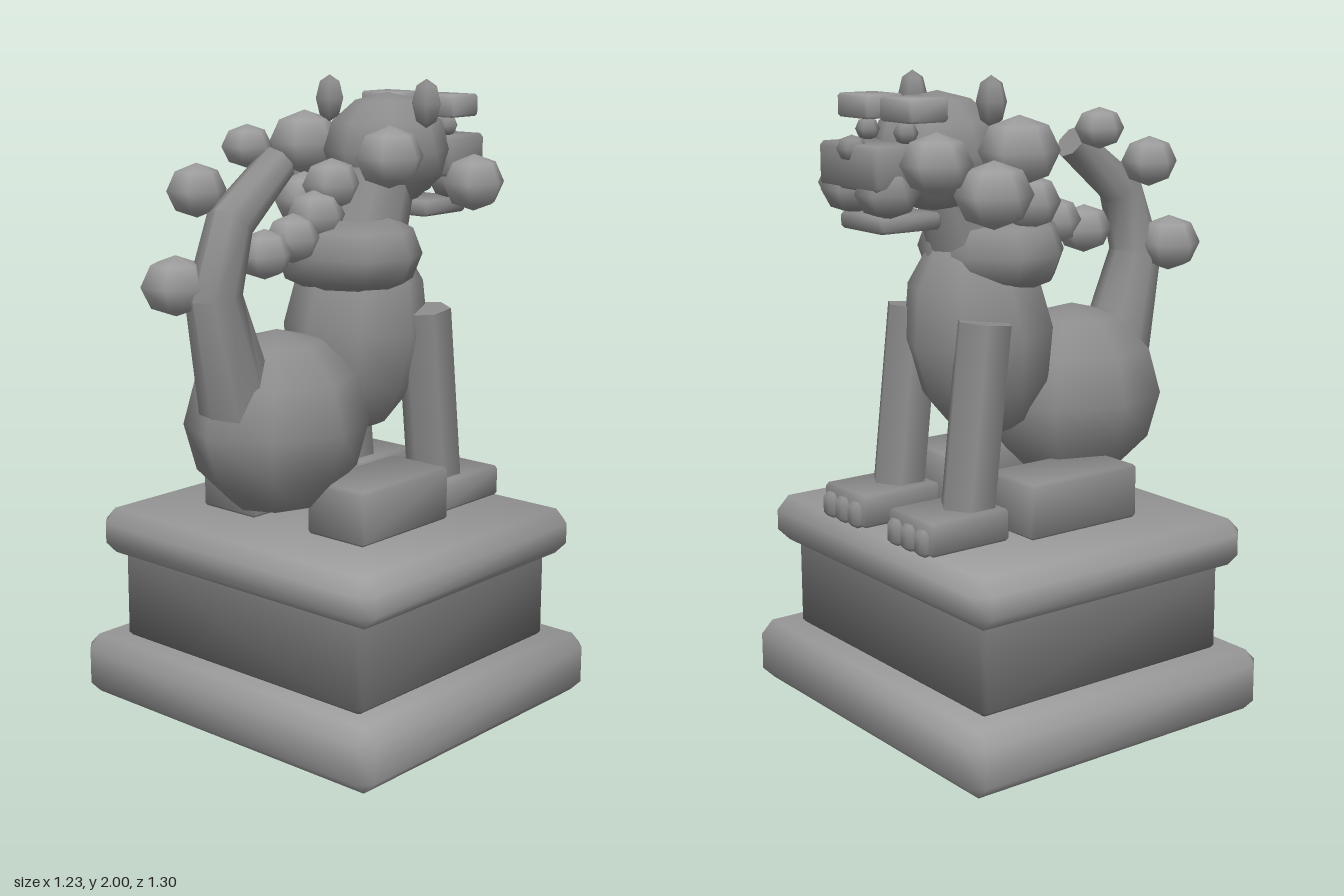
import * as THREE from 'three';
import { ConvexGeometry } from 'three/addons/geometries/ConvexGeometry.js';
import { toCreasedNormals } from 'three/addons/utils/BufferGeometryUtils.js';

const stone = new THREE.MeshStandardMaterial({ color: 0x8c8c8c });
const paleStone = new THREE.MeshStandardMaterial({ color: 0x9c9c9c });
const darkStone = new THREE.MeshStandardMaterial({ color: 0x6e6e6e });

export function createModel() {
  const model = new THREE.Group();

  const add = (name, geometry, material, x = 0, y = 0, z = 0) => {
    const mesh = new THREE.Mesh(geometry, material);
    mesh.name = name;
    mesh.position.set(x, y, z);
    model.add(mesh);
    return mesh;
  };

  // Box with every edge cut at 45 degrees and softly shaded
  const chamferBox = (name, [w, h, d], [x, y, z], c, material = stone) => {
    const points = [];
    for (const sx of [-1, 1]) for (const sy of [-1, 1]) for (const sz of [-1, 1]) {
      for (const k of [0, 1, 2]) {
        points.push(new THREE.Vector3(
          sx * (w / 2 - (k === 0 ? 0 : c)),
          sy * (h / 2 - (k === 1 ? 0 : c)),
          sz * (d / 2 - (k === 2 ? 0 : c))));
      }
    }
    return add(name, toCreasedNormals(new ConvexGeometry(points), 1.1), material, x, y, z);
  };

  // Low-poly balls: body masses are finer than the small curls
  const ball = (name, [x, y, z], radii, material, sides, rings) =>
    add(name, new THREE.SphereGeometry(1, sides, rings).scale(...radii), material, x, y, z);
  const mass = (name, at, radii) => ball(name, at, radii, stone, 8, 6);
  const knob = (name, at, radii, material = paleStone) => ball(name, at, radii, material, 6, 4);

  // Straight limb between two points
  const limb = (name, from, to, r0, r1, sides) => {
    const a = new THREE.Vector3(...from), b = new THREE.Vector3(...to);
    const dir = b.clone().sub(a);
    const geometry = new THREE.CylinderGeometry(r1, r0, dir.length(), sides);
    const mesh = add(name, geometry, stone);
    mesh.position.copy(a).add(b).multiplyScalar(0.5);
    mesh.quaternion.setFromUnitVectors(new THREE.Vector3(0, 1, 0), dir.normalize());
    return mesh;
  };

  // Pedestal
  chamferBox('pedestalFoot', [1.23, 0.2, 1.13], [0, 0.1, -0.075], 0.04, paleStone);
  chamferBox('pedestalCore', [1.015, 0.29, 0.925], [0, 0.34, -0.07], 0.018, darkStone);
  chamferBox('pedestalTop', [1.15, 0.15, 1.035], [0, 0.555, -0.073], 0.042, paleStone);

  // Body and neck
  mass('rump', [0, 0.97, 0.2], [0.27, 0.29, 0.305]);
  mass('chest', [0, 1.21, -0.17], [0.23, 0.34, 0.235]).rotation.x = -0.12;
  const collar = new THREE.TorusGeometry(0.15, 0.112, 8, 9);
  collar.rotateX(Math.PI / 2);
  collar.scale(1, 1, 0.8);
  add('collar', collar, stone, 0, 1.463, -0.12);
  limb('neck', [0, 1.35, -0.13], [0, 1.74, -0.27], 0.16, 0.13, 8);

  // Head
  mass('head', [0, 1.77, -0.315], [0.2, 0.18, 0.205]);
  chamferBox('muzzle', [0.3, 0.13, 0.19], [0, 1.745, -0.54], 0.012);
  chamferBox('jaw', [0.22, 0.05, 0.215], [0, 1.58, -0.485], 0.01);
  knob('nose', [0, 1.795, -0.613], [0.055, 0.04, 0.042], stone);

  // Paired parts
  for (const s of [-1, 1]) {
    chamferBox('brow', [0.158, 0.07, 0.135], [s * 0.113, 1.907, -0.475], 0.008, paleStone);
    knob('eye', [s * 0.1, 1.84, -0.495], [0.04, 0.035, 0.035], stone);
    knob('ear', [s * 0.2, 1.925, -0.265], [0.057, 0.075, 0.04], stone);
    knob('cheek', [s * 0.09, 1.67, -0.555], [0.095, 0.075, 0.095], stone);
    limb('frontLeg', [s * 0.185, 0.68, -0.352], [s * 0.185, 1.28, -0.283], 0.088, 0.088, 6);
    chamferBox('frontPaw', [0.23, 0.1, 0.285], [s * 0.18, 0.68, -0.413], 0.01);
    for (const i of [-1, 0, 1]) {
      chamferBox('toe', [0.06, 0.08, 0.06], [s * 0.18 + i * 0.07, 0.668, -0.548], 0.015);
    }
    chamferBox('hindFoot', [0.23, 0.17, 0.415], [s * 0.228, 0.715, -0.018], 0.01);
  }

  // Mane curls: x, y, z, radius
  [
    [-0.26, 1.785, -0.21, 0.115], [0.18, 1.77, -0.115, 0.106],
    [0.24, 1.67, -0.46, 0.1], [-0.23, 1.76, -0.48, 0.1],
    [-0.305, 1.67, -0.335, 0.11], [-0.16, 1.62, -0.1, 0.095],
    [0, 1.68, -0.05, 0.09], [0, 1.59, 0.02, 0.09],
    [0, 1.53, 0.125, 0.085], [0, 1.495, 0.25, 0.085],
  ].forEach(([x, y, z, r]) => knob('maneCurl', [x, y, z], [r, r * 0.9, r * 1.08]));

  // Tail: a cylinder whose rings are moved onto a bent, tapering path
  const path = [
    [0, 1.05, 0.37, 0.12], [0.025, 1.4, 0.49, 0.085],
    [0.03, 1.61, 0.425, 0.072], [0.025, 1.77, 0.215, 0.058],
  ];
  const tail = new THREE.CylinderGeometry(1, 1, 3, 8, 3);
  const pos = tail.attributes.position;
  for (let i = 0; i < pos.count; i++) {
    const k = Math.round(pos.getY(i) + 1.5);
    const [x, y, z, r] = path[k];
    const before = path[Math.max(k - 1, 0)], after = path[Math.min(k + 1, 3)];
    const lean = Math.atan2(after[2] - before[2], after[1] - before[1]);
    const px = pos.getX(i) * r, pz = pos.getZ(i) * r;
    pos.setXYZ(i, x + px, y - pz * Math.sin(lean), z + pz * Math.cos(lean));
  }
  add('tail', toCreasedNormals(tail, 0.9), stone);

  // Tail curls
  knob('tailCurl', [-0.06, 1.815, 0.26], [0.08, 0.065, 0.078]);
  knob('tailCurl', [-0.065, 1.7, 0.465], [0.088, 0.08, 0.092]);
  knob('tailCurl', [-0.065, 1.43, 0.555], [0.105, 0.09, 0.105]);

  return model;
}
